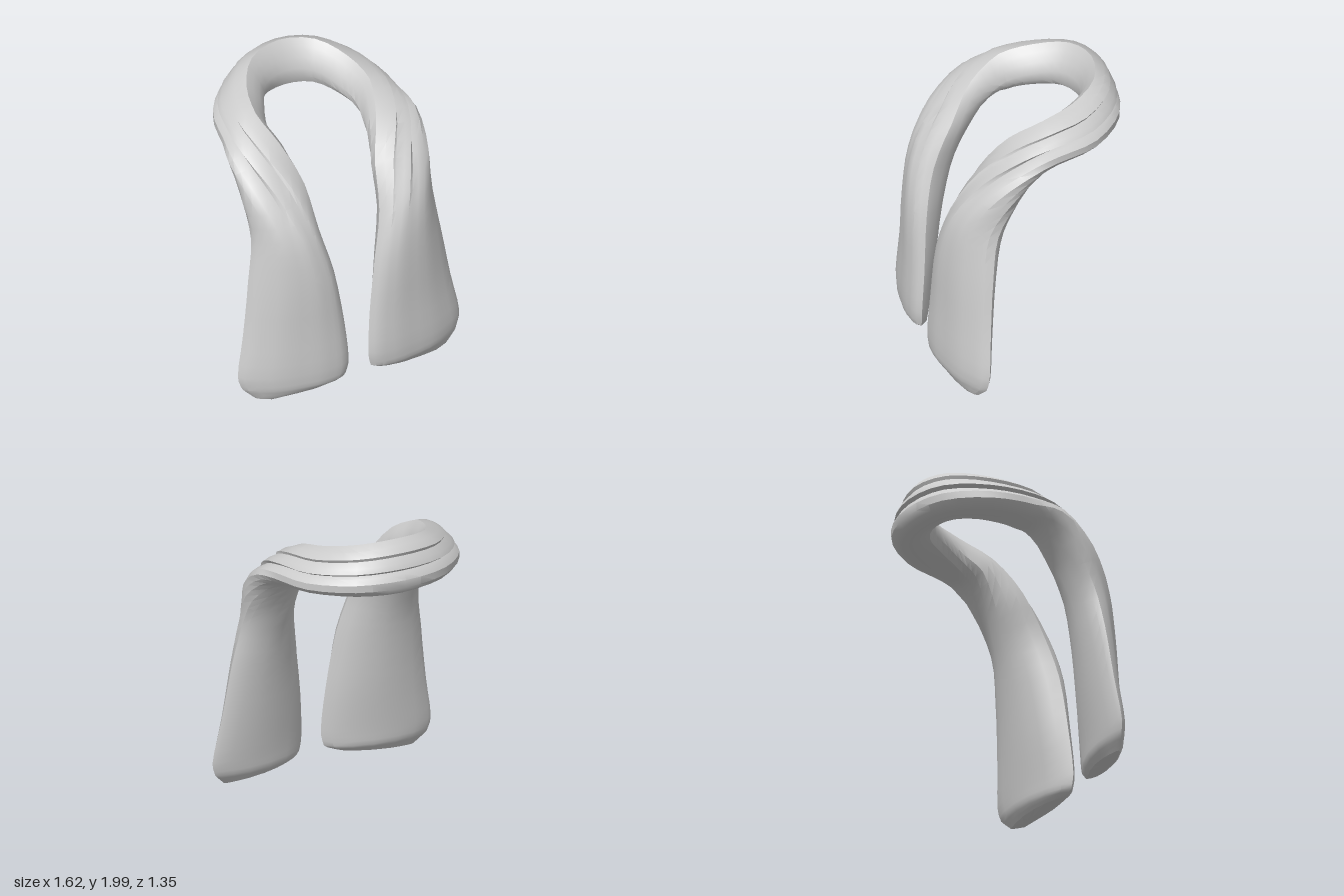
import * as THREE from 'three';
import { toCreasedNormals } from 'three/addons/utils/BufferGeometryUtils.js';

// Cross-sections as [along width, along thickness]: the gathered neck and the flat hanging end
const NECK = [[1, -.1], [.82, .38], [.57, .64], [.45, .54], [.22, .82], [.02, .92], [-.08, .7], [-.18, .87], [-.4, 1.02],
  [-.7, .95], [-.9, .7], [-1, .35], [-1, -.1], [-.92, -.6], [-.7, -1], [-.35, -1.14], [0, -1.08], [.4, -.8], [.75, -.45]];
const FLAP = [[1, .1], [.92, .42], [.8, .66], [.7, .74], [.56, .88], [.35, .98], [.2, .97], [0, .99], [-.25, .96],
  [-.5, .82], [-.75, .48], [-.92, .26], [-1, -.1], [-.92, -.32], [-.65, -.65], [-.3, -.93], [.15, -1], [.55, -.8], [.87, -.4]];

// Stations from the nape to the hem: centre, half width (towards the upper / inner edge), half thickness (outwards)
const STATIONS = [
  [[0, 1.82, -.548], [0, .178, .015], [0, .01, -.113]],
  [[.25, 1.81, -.48], [-.012, .165, .018], [.075, .01, -.105]],
  [[.415, 1.775, -.275], [-.03, .145, .018], [.137, .015, -.068]],
  [[.475, 1.735, -.05], [-.045, .132, .02], [.143, .03, 0]],
  [[.475, 1.66, .12], [-.115, .085, .065], [.147, .045, .035]],
  [[.455, 1.45, .305], [-.2, .045, .05], [.085, .06, .1]],
  [[.437, 1.2, .43], [-.217, .01, .05], [.02, .03, .148]],
  [[.425, .9, .492], [-.275, 0, .06], [0, .02, .14]],
  [[.425, .5, .53], [-.332, 0, .062], [0, .01, .115]],
  [[.44, .2, .556], [-.368, 0, .062], [0, 0, .1]],
  [[.437, .095, .56], [-.345, -.005, .055], [0, 0, .09]],
  [[.44, .035, .565], [-.26, .015, .035], [0, 0, .055]],
];
const STEPS = 3; // rings between two stations

// Smooth curve through one column of the stations, mirrored across x = 0
function mirroredCurve(column) {
  const half = STATIONS.map((s) => new THREE.Vector3(...s[column]));
  const other = half.slice(1).reverse().map((v) => new THREE.Vector3(-v.x, v.y, v.z));
  return new THREE.CatmullRomCurve3([...other, ...half]);
}

function scarfGeometry() {
  const [centre, width, thick] = [0, 1, 2].map(mirroredCurve);
  const n = NECK.length;
  const last = STATIONS.length - 1;
  const rings = 2 * last * STEPS;
  const positions = [];
  const index = [];

  for (let i = 0; i <= rings; i++) {
    const t = i / rings;
    const c = centre.getPoint(t), w = width.getPoint(t), d = thick.getPoint(t);
    const blend = THREE.MathUtils.smoothstep(Math.abs(2 * t - 1) * last, 2.5, 7);
    for (let j = 0; j < n; j++) {
      const u = THREE.MathUtils.lerp(NECK[j][0], FLAP[j][0], blend);
      const v = THREE.MathUtils.lerp(NECK[j][1], FLAP[j][1], blend);
      const p = c.clone().addScaledVector(w, u).addScaledVector(d, v);
      positions.push(p.x, p.y, p.z);
    }
  }
  for (let i = 0; i < rings; i++) {
    for (let j = 0; j < n; j++) {
      const a = i * n + j, b = i * n + (j + 1) % n;
      index.push(a, a + n, b, b, a + n, b + n);
    }
  }

  // Closed hems, lowest towards the outer side
  for (const end of [0, 1]) {
    const c = centre.getPoint(end);
    const tip = positions.length / 3;
    positions.push(c.x + Math.sign(c.x) * .16, .003, c.z);
    const start = end * rings * n;
    for (let j = 0; j < n; j++) {
      const a = start + j, b = start + (j + 1) % n;
      if (end) index.push(tip, b, a);
      else index.push(tip, a, b);
    }
  }

  const geometry = new THREE.BufferGeometry();
  geometry.setAttribute('position', new THREE.Float32BufferAttribute(positions, 3));
  geometry.setIndex(index);
  return toCreasedNormals(geometry, THREE.MathUtils.degToRad(32));
}

export function createModel() {
  const group = new THREE.Group();
  group.name = 'scarf';
  const cloth = new THREE.Mesh(
    scarfGeometry(),
    new THREE.MeshStandardMaterial({ color: 0xcccccc, side: THREE.DoubleSide }),
  );
  cloth.name = 'scarfCloth';
  group.add(cloth);
  return group;
}
